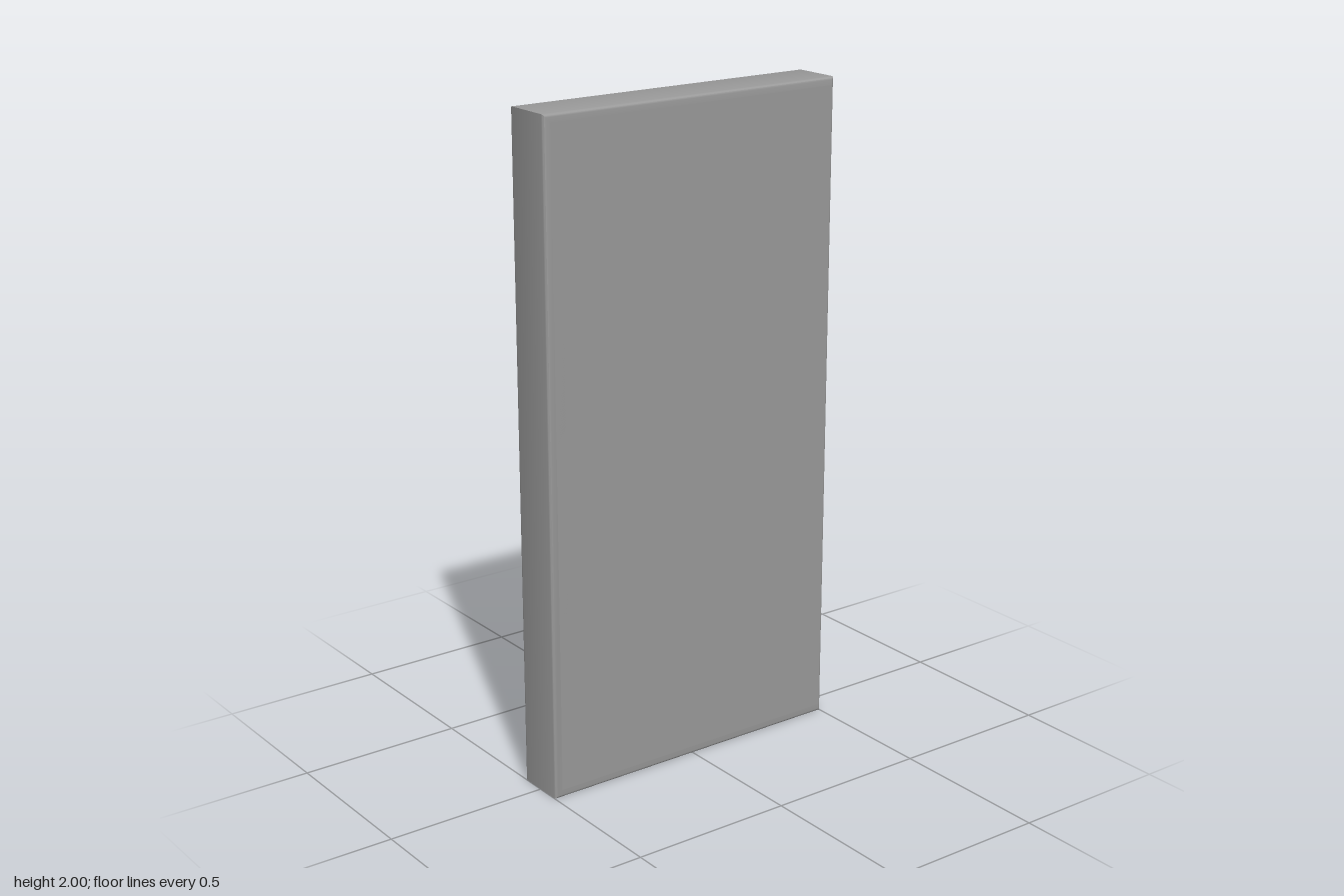
import * as THREE from 'three';
import { RoundedBoxGeometry } from 'three/addons/geometries/RoundedBoxGeometry.js';
import { toCreasedNormals } from 'three/addons/utils/BufferGeometryUtils.js';

const BACK = 0.081, FRAME_FACE = -0.079, BRACE_FACE = -0.082;
const BEVEL = 0.009, RAIL = 0.064;

// Extrudes a (z, y) outline across x between two planes, with softened edges
function slab(points, xFrom, xTo, bevel) {
  const shape = new THREE.Shape(points.map(([z, y]) => new THREE.Vector2(z, y)));
  const geo = new THREE.ExtrudeGeometry(shape, {
    depth: xFrom - xTo - 2 * bevel,
    bevelThickness: bevel, bevelSize: bevel, bevelOffset: -bevel, bevelSegments: 3,
  });
  geo.rotateY(-Math.PI / 2);
  geo.translate(xFrom - bevel, 0, 0);
  return toCreasedNormals(geo, 0.6);
}

export function createModel() {
  const model = new THREE.Group();
  const grey = new THREE.MeshStandardMaterial({ color: 0x999999 });
  grey.name = 'grey';

  const add = (name, geometry) => {
    const mesh = new THREE.Mesh(geometry, grey);
    mesh.name = name;
    model.add(mesh);
    return mesh;
  };

  // Three-sided frame, open along the back edge
  const inner = 0.5 - RAIL;
  add('frame', slab([
    [-0.5, 0], [0.5, 0], [0.5, 2], [-0.5, 2],
    [-0.5, 2 - RAIL], [inner, 2 - RAIL], [inner, RAIL], [-0.5, RAIL],
  ], BACK, FRAME_FACE, BEVEL));

  // Solid panel closing one side of the frame
  const panel = add('panel', new RoundedBoxGeometry(BACK, 1.97, 0.985, 3, BEVEL));
  panel.position.set(BACK / 2, 1, -0.0075);

  // Upper brace, rising from mid height to the top corner
  add('upperBrace', slab([
    [-0.475, 1.04], [0.44, 1.86], [0.44, 1.94], [-0.475, 1.12],
  ], 0.02, BRACE_FACE, 0.007));

  // Lower brace, butting against the underside of the upper one
  add('lowerBrace', slab([
    [-0.475, 1.03], [0.4, 0.06], [0.44, 0.06], [0.44, 0.12], [-0.435, 1.076],
  ], 0.02, BRACE_FACE, 0.007));

  return model;
}
